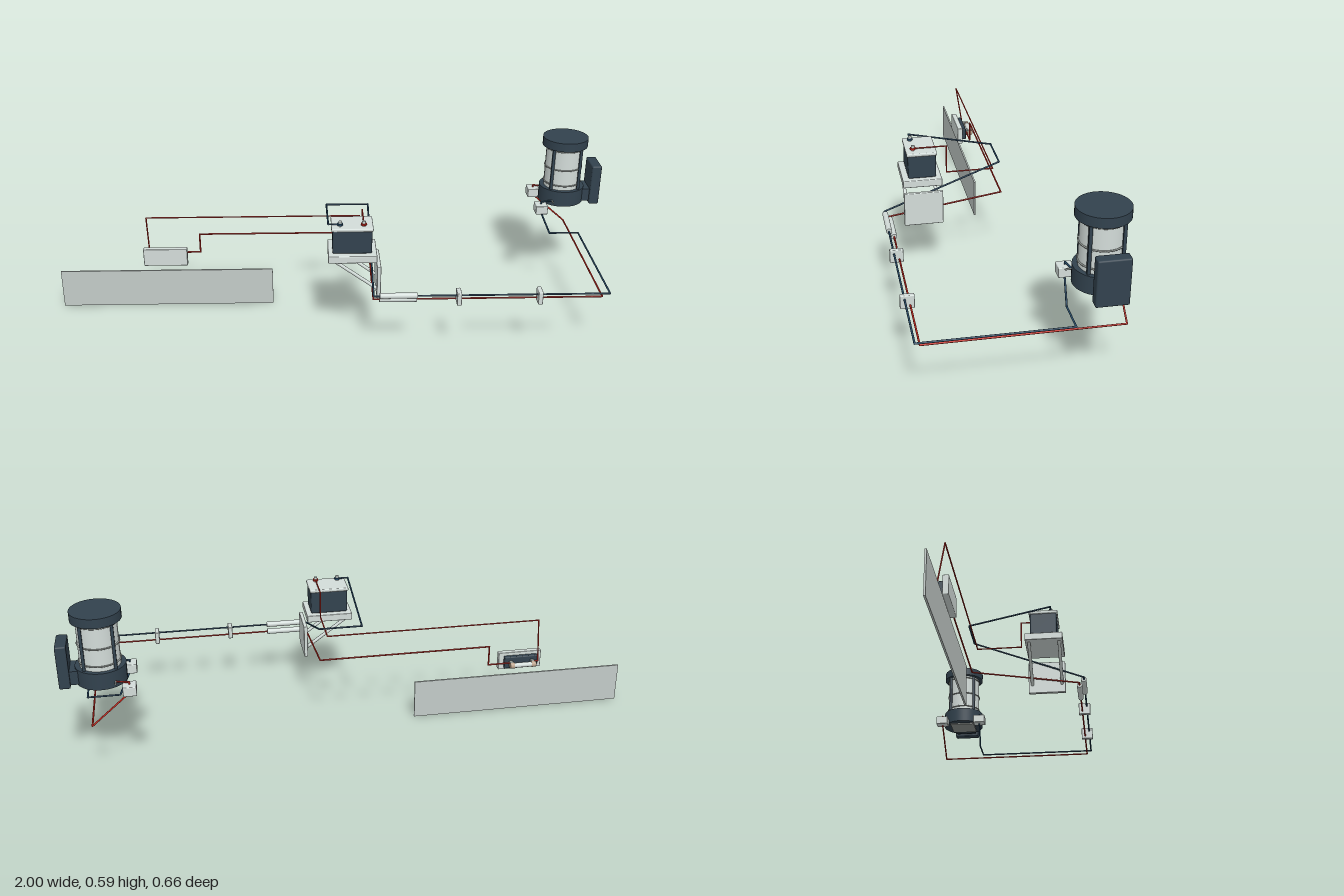
import * as THREE from 'three';
import { RoundedBoxGeometry } from 'three/addons/geometries/RoundedBoxGeometry.js';

const mat = (name, color) => {
  const m = new THREE.MeshStandardMaterial({ color });
  m.name = name;
  return m;
};

export function createModel() {
  const root = new THREE.Group();
  const light = mat('light grey', 0xd3dcd9);
  const panelGrey = mat('panel grey', 0xc3cbc8);
  const dark = mat('dark slate', 0x32424e);
  const metal = mat('metal grey', 0x8f9591);
  const red = mat('red', 0xc3271d);
  const blue = mat('blue', 0x284b67);
  const brass = mat('brass', 0xbfa78f);

  const group = (name, parent = root) => {
    const g = new THREE.Group();
    g.name = name;
    parent.add(g);
    return g;
  };
  const add = (name, geometry, material, parent = root) => {
    const m = new THREE.Mesh(geometry, material);
    m.name = name;
    parent.add(m);
    return m;
  };
  // Box given by its lower and upper corners, optionally rounded
  const box = (name, a, b, material, parent, r = 0) => {
    const s = b.map((v, i) => v - a[i]);
    const geo = r ? new RoundedBoxGeometry(...s, 2, r) : new THREE.BoxGeometry(...s);
    const m = add(name, geo, material, parent);
    m.position.set(...a.map((v, i) => (v + b[i]) / 2));
    return m;
  };
  // Round bar between two points
  const bar = (name, a, b, r, material, parent, sides = 12) => {
    const p = new THREE.Vector3(...a), q = new THREE.Vector3(...b);
    const d = q.clone().sub(p);
    const m = add(name, new THREE.CylinderGeometry(r, r, d.length(), sides), material, parent);
    m.position.copy(p).add(q).multiplyScalar(0.5);
    m.quaternion.setFromUnitVectors(new THREE.Vector3(0, 1, 0), d.normalize());
    return m;
  };
  // Cable of straight runs with round corners
  const cable = (name, points, r, material) => {
    const g = group(name);
    points.forEach((p, i) => {
      if (i) bar('cableRun', points[i - 1], p, r, material, g, 8);
      add('cableJoint', new THREE.SphereGeometry(r, 8, 6), material, g).position.set(...p);
    });
  };

  // Long flat panel
  box('panel', [-1, 0.002, -0.068], [-0.22, 0.145, -0.062], panelGrey, root);

  // Fuse holder on its back plate
  const fuse = group('fuseHolder');
  box('backPlate', [-0.69, 0.17, -0.071], [-0.53, 0.237, -0.051], light, fuse, 0.003);
  box('fuseBase', [-0.672, 0.18, -0.088], [-0.548, 0.226, -0.071], dark, fuse, 0.004);
  bar('fuseTube', [-0.645, 0.202, -0.108], [-0.575, 0.202, -0.108], 0.009, light, fuse, 16);
  for (const x of [-0.65, -0.57]) {
    bar('fuseCap', [x - 0.008, 0.202, -0.108], [x + 0.008, 0.202, -0.108], 0.011, brass, fuse, 8);
    box('fuseClip', [x - 0.006, 0.192, -0.106], [x + 0.006, 0.212, -0.087], metal, fuse);
  }

  // Battery with lid and terminals
  const battery = group('battery');
  box('batteryCase', [-0.006, 0.354, 0.135], [0.128, 0.44, 0.232], dark, battery, 0.006);
  box('batteryLid', [-0.01, 0.437, 0.131], [0.132, 0.449, 0.236], light, battery, 0.004);
  for (const [x, m] of [[0.02, blue], [0.1, red]]) {
    bar('terminal', [x, 0.447, 0.211], [x, 0.467, 0.211], 0.006, light, battery, 16);
    bar('terminalCollar', [x, 0.453, 0.211], [x, 0.459, 0.211], 0.01, m, battery, 16);
  }

  // Tray, wall plate and diagonal struts
  const bracket = group('batteryBracket');
  box('tray', [-0.021, 0.328, 0.116], [0.145, 0.354, 0.252], light, bracket, 0.003);
  box('wallPlate', [0.145, 0.19, 0.116], [0.159, 0.312, 0.252], light, bracket, 0.003);
  for (const z of [0.13, 0.239]) {
    bar('strut', [0, 0.332, z], [0.15, 0.222, z], 0.006, light, bracket);
  }

  // Cable sleeves and clips
  bar('blueSleeve', [0.15, 0.239, 0.318], [0.277, 0.239, 0.318], 0.01, light, root, 16);
  bar('redSleeve', [0.15, 0.217, 0.302], [0.277, 0.217, 0.302], 0.01, light, root, 16);
  for (const x of [0.418, 0.692]) {
    box('cableClip', [x - 0.008, 0.205, 0.288], [x + 0.008, 0.251, 0.333], light, root, 0.003);
  }

  // Upright motor
  const motor = group('motor');
  motor.position.set(0.866, 0, -0.229);
  const drum = (name, r, y0, y1, m) => bar(name, [0, y0, 0], [0, y1, 0], r, m, motor, 48);
  drum('topCap', 0.082, 0.563, 0.595, dark);
  drum('baseCap', 0.082, 0.347, 0.405, dark);
  drum('motorBody', 0.066, 0.4, 0.566, light);
  box('footPlate', [-0.05, 0.342, -0.05], [0.05, 0.349, 0.05], metal, motor);
  for (const y of [0.422, 0.483, 0.555]) {
    const ring = add('ring', new THREE.TorusGeometry(0.067, 0.0028, 8, 48), metal, motor);
    ring.rotation.x = Math.PI / 2;
    ring.position.y = y;
  }
  for (const sz of [-1, 1]) {
    bar('terminalPin', [-0.046, 0.367, sz * 0.06], [-0.046, 0.367, sz * 0.091], 0.003, metal, motor);
    for (const sx of [-1, 1]) {
      box('post', [sx * 0.05 - 0.005, 0.4, sz * 0.05 - 0.005],
        [sx * 0.05 + 0.005, 0.566, sz * 0.05 + 0.005], dark, motor);
    }
  }
  box('controlBox', [0.098, 0.343, -0.05], [0.134, 0.493, 0.05], dark, motor, 0.005);
  box('controlMount', [0.05, 0.352, -0.04], [0.1, 0.4, 0.04], dark, motor);

  // Junction boxes with short leads into the motor base
  for (const [z, inner, m] of [[-0.149, -0.16, blue], [-0.308, -0.298, red]]) {
    box('junctionBox', [0.756, 0.326, z - 0.024], [0.8, 0.359, z + 0.024], light, root, 0.003);
    cable('motorLead', [[0.778, 0.355, z], [0.778, 0.367, z], [0.82, 0.367, inner]], 0.003, m);
  }

  // Cables
  cable('blueCable', [
    [0.02, 0.456, 0.211], [-0.02, 0.456, 0.211], [-0.02, 0.395, -0.084], [0.13, 0.395, -0.084],
    [0.13, 0.238, 0.319], [0.928, 0.238, 0.319], [0.928, 0.238, -0.149],
    [0.82, 0.238, -0.149], [0.778, 0.33, -0.149]], 0.0032, blue);
  cable('redMotorCable', [
    [-0.57, 0.205, -0.092], [-0.485, 0.205, -0.092], [-0.485, 0.278, -0.092], [0.13, 0.278, -0.092],
    [0.13, 0.217, 0.302], [0.908, 0.217, 0.302], [0.908, 0.217, -0.308],
    [0.778, 0.33, -0.308]], 0.003, red);
  cable('redBatteryCable', [
    [0.1, 0.456, 0.22], [0.1, 0.456, 0.095], [0.1, 0.357, 0.095], [0.1, 0.357, -0.068],
    [-0.672, 0.357, -0.068], [-0.672, 0.205, -0.092], [-0.65, 0.205, -0.092]], 0.0025, red);

  // Stand the model on the ground
  root.position.y = -0.002;
  return root;
}
